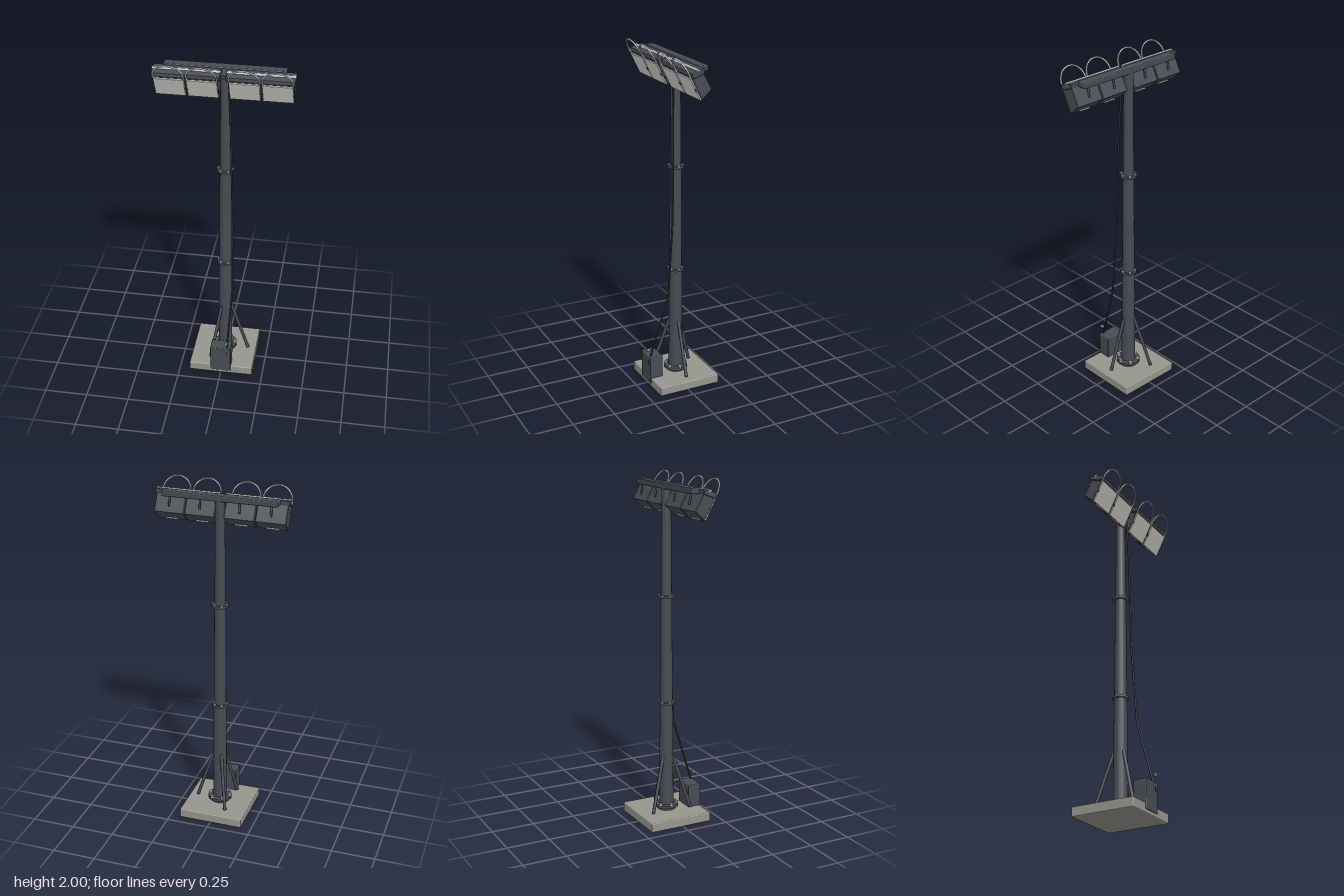
import * as THREE from 'three';
import { RoundedBoxGeometry } from 'three/addons/geometries/RoundedBoxGeometry.js';

const mat = (name, color) => {
  const m = new THREE.MeshStandardMaterial({ color });
  m.name = name;
  return m;
};

export function createModel() {
  const root = new THREE.Group();
  root.name = 'floodlightMast';
  const dark = mat('darkPaint', 0x474c53);
  const black = mat('blackRubber', 0x303336);
  const concrete = mat('concrete', 0x96968d);
  const glass = mat('lampGlass', 0xdddcd4);
  const steel = mat('steel', 0xbcbcba);
  const green = mat('greenPlug', 0x74b482);
  const cz = -0.01; // mast axis

  const add = (name, geo, material, x = 0, y = 0, z = 0, parent = root) => {
    const m = new THREE.Mesh(geo, material);
    m.name = name;
    m.position.set(x, y, z);
    parent.add(m);
    return m;
  };
  const box = (name, w, h, d, material, x, y, z, r = 0.005, parent = root) =>
    add(name, new RoundedBoxGeometry(w, h, d, 2, r), material, x, y, z, parent);
  const disc = (name, rt, rb, h, material, x, y, z, n = 16) =>
    add(name, new THREE.CylinderGeometry(rt, rb, h, n), material, x, y, z);
  const rod = (name, a, b, r, material, n = 10, parent = root) => {
    const d = new THREE.Vector3().subVectors(b, a);
    const m = add(name, new THREE.CylinderGeometry(r, r, d.length(), n), material, 0, 0, 0, parent);
    m.position.copy(a).addScaledVector(d, 0.5);
    m.quaternion.setFromUnitVectors(new THREE.Vector3(0, 1, 0), d.normalize());
    return m;
  };
  const V = (x, y, z) => new THREE.Vector3(x, y, z);

  // Footing and bolted flange
  box('footing', 0.38, 0.055, 0.38, concrete, 0, 0.0275, cz, 0.006);
  disc('flange', 0.07, 0.07, 0.016, dark, 0, 0.078, cz);
  disc('flangePad', 0.055, 0.055, 0.018, dark, 0, 0.062, cz);
  const boltRing = (r, y, size, h) => {
    for (let i = 0; i < 6; i++) {
      const a = (i * Math.PI) / 3;
      disc('bolt', size, size, h, steel, r * Math.cos(a), y, cz + r * Math.sin(a), 8);
    }
  };
  boltRing(0.06, 0.09, 0.01, 0.012);

  // Mast in three telescoping sections with collars
  [[0.055, 0.7, 0.042, 0.037], [0.7, 1.32, 0.036, 0.032], [1.32, 1.945, 0.031, 0.026]]
    .forEach(([y0, y1, rb, rt]) => disc('mastSection', rt, rb, y1 - y0, dark, 0, (y0 + y1) / 2, cz));
  for (const y of [0.7, 1.32]) {
    disc('collar', 0.047, 0.047, 0.014, dark, 0, y, cz);
    boltRing(0.04, y + 0.008, 0.0075, 0.007);
  }

  // Three raking struts
  for (let i = 0; i < 3; i++) {
    const a = (i * 2 * Math.PI) / 3, c = Math.cos(a), s = Math.sin(a);
    rod('strut', V(0.14 * c, 0.06, cz + 0.14 * s), V(0.036 * c, 0.38, cz + 0.036 * s), 0.0095, dark);
  }

  // Control cabinet
  box('cabinet', 0.123, 0.17, 0.08, dark, -0.001, 0.105, 0.145, 0.005);
  box('cabinetLatch', 0.01, 0.022, 0.008, black, 0.036, 0.15, 0.184, 0.002);

  // Supply cable, straight between its clips, with plug
  const path = new THREE.CurvePath();
  const knots = [V(0.024, 1.85, 0.018), V(0.035, 1.6, 0.026), V(0.048, 1.0, 0.034),
    V(0.054, 0.56, 0.064), V(0.036, 0.18, 0.175)];
  knots.slice(1).forEach((p, i) => path.add(new THREE.LineCurve3(knots[i], p)));
  add('supplyCable', new THREE.TubeGeometry(path, 60, 0.0055, 8), black);
  rod('greenPlug', V(0.034, 0.23, 0.182), V(0.034, 0.23, 0.195), 0.0095, green, 12);

  // Cross beam and centre joint
  box('crossBeam', 0.655, 0.032, 0.054, dark, 0, 1.938, -0.008, 0.005);
  rod('centreJoint', V(0, 1.94, 0), V(0, 1.92, 0.065), 0.015, dark, 14);

  // Extrudes a z/y side profile along x
  const sideExtrude = (pts, w) => {
    const shape = new THREE.Shape(pts.map(([z, y]) => new THREE.Vector2(-z, y)));
    const g = new THREE.ExtrudeGeometry(shape, { depth: w - 0.006, bevelEnabled: true,
      bevelThickness: 0.003, bevelSize: 0.003, bevelOffset: -0.003, bevelSegments: 1 });
    g.translate(0, 0, -(w - 0.006) / 2);
    return g.rotateY(Math.PI / 2);
  };
  const lampProfile = [[0.025, 1.782], [0.087, 1.905], [0.025, 1.943], [-0.033, 1.835]];
  const tilt = Math.atan2(0.062, 0.123);

  // Four tilted lamps, each with glass, rear arm, lower lip and wire hoop
  for (const x of [-0.287, -0.112, 0.112, 0.287]) {
    const lamp = new THREE.Group();
    lamp.name = 'lamp';
    lamp.position.x = x;
    root.add(lamp);
    add('housing', sideExtrude(lampProfile, 0.17), dark, 0, 0, 0, lamp);

    const face = new THREE.Group();
    face.name = 'lampFace';
    face.position.set(0, 1.8435, 0.056);
    face.rotation.x = tilt;
    lamp.add(face);
    box('glass', 0.163, 0.134, 0.009, glass, 0, 0, 0.003, 0.003, face);
    for (const s of [-1, 1]) box('clip', 0.008, 0.016, 0.016, dark, s * 0.083, 0, 0.004, 0.002, face);
    box('lowerLip', 0.07, 0.008, 0.014, steel, 0, -0.068, -0.008, 0.002, face);

    // Hoop stands in the plane of the glass, its ends behind the top rail
    const hoop = add('hoop', new THREE.TorusGeometry(0.081, 0.005, 8, 36, Math.PI + 0.7), steel, 0, 0.09, 0.002, face);
    hoop.rotation.z = -0.35;

    rod('rearArm', V(0, 1.93, -0.012), V(0, 1.865, -0.024), 0.006, dark, 8, lamp);
  }

  // A capped rail over each pair of lamps
  const railProfile = [[0.076, 1.9], [0.09, 1.912], [0.088, 1.93], [0.05, 1.945], [0.012, 1.948], [0.012, 1.925]];
  for (const s of [-1, 1]) {
    add('topRail', sideExtrude(railProfile, 0.365), dark, s * 0.1975, 0, 0);
    rod('railStrip', V(s * 0.015, 1.938, 0.049), V(s * 0.38, 1.938, 0.049), 0.0115, steel, 12);
  }
  return root;
}
